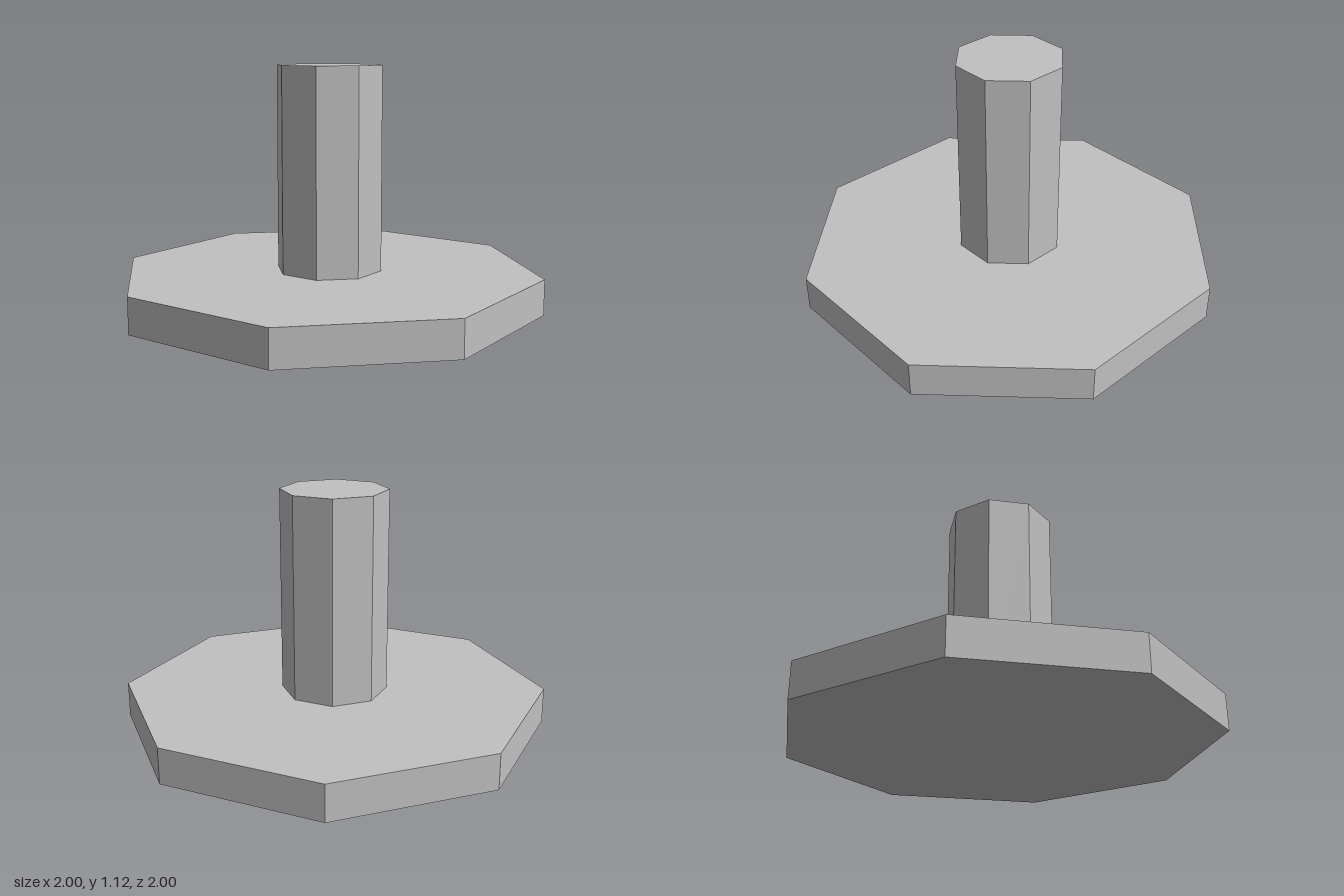
import * as THREE from 'three';

const SIDES = 8;

export function createModel() {
  const model = new THREE.Group();
  const grey = new THREE.MeshStandardMaterial({ color: 0xc0c0c0, flatShading: true });
  grey.name = 'light grey';

  // Upright octagonal prism with corners on the x and z axes
  const addPrism = (name, radius, bottom, top) => {
    const geometry = new THREE.CylinderGeometry(radius, radius, top - bottom, SIDES);
    const mesh = new THREE.Mesh(geometry, grey);
    mesh.name = name;
    mesh.position.y = (bottom + top) / 2;
    model.add(mesh);
  };

  // Wide flat foot
  addPrism('base', 1, 0, 0.167);
  // Central column standing on the foot
  addPrism('post', 0.25, 0.167, 1.125);

  return model;
}
